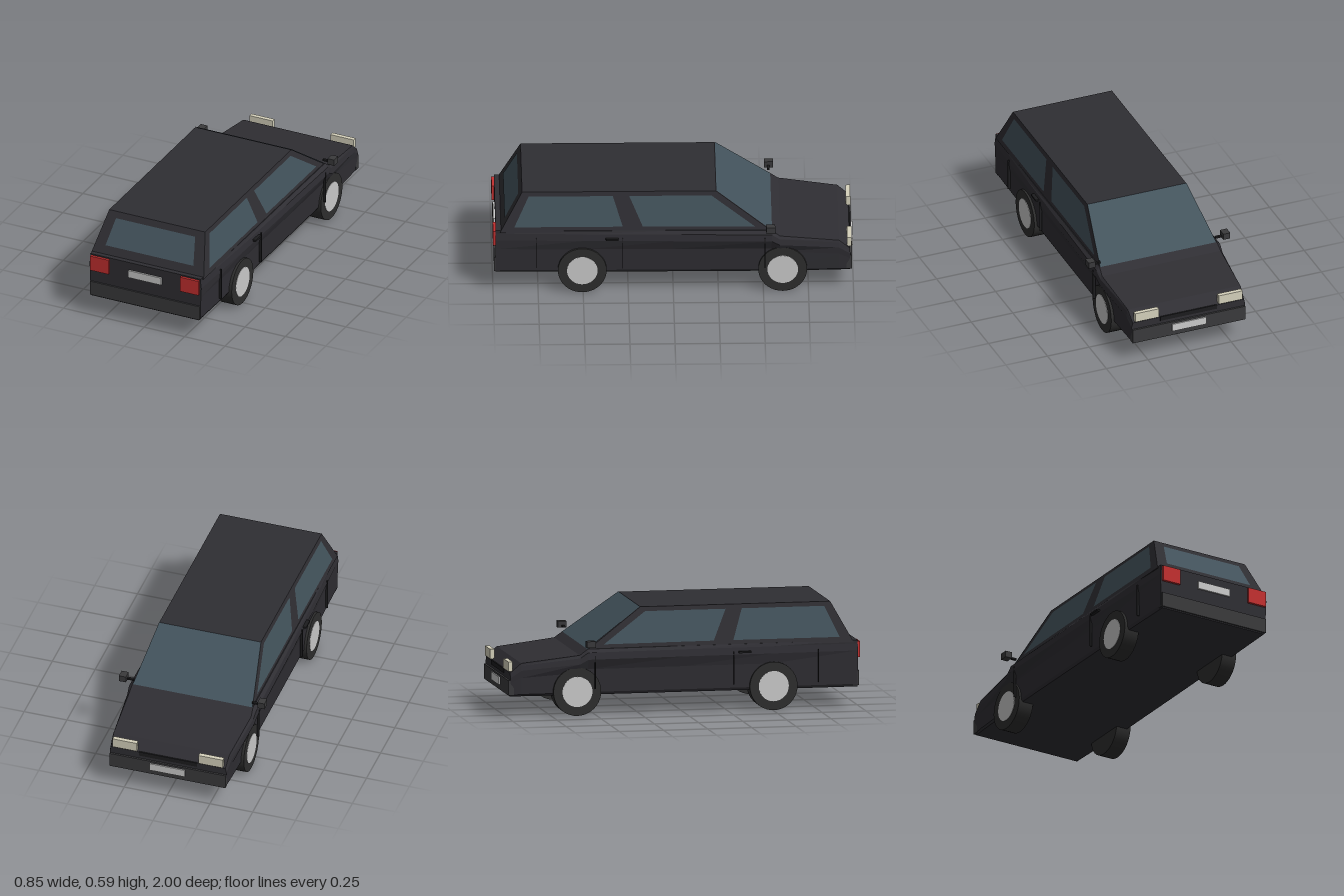
import * as THREE from 'three';
import { ConvexGeometry } from 'three/addons/geometries/ConvexGeometry.js';

const mat = (color, extra = {}) => new THREE.MeshStandardMaterial({ color, ...extra });
const paint = mat(0x2f2e33, { flatShading: true });
const trim = mat(0x3a3a3c);
const black = mat(0x1c1c1e);
const rubber = mat(0x2e2e2e);
const glass = mat(0x43535c, { side: THREE.DoubleSide });
const red = mat(0xc43030);
const lamp = mat(0xd6d2bc);
const grey = mat(0xcccccc);

export function createModel() {
  const car = new THREE.Group();
  car.name = 'car';

  const add = (name, geometry, material, x = 0, y = 0, z = 0) => {
    const mesh = new THREE.Mesh(geometry, material);
    mesh.name = name;
    mesh.position.set(x, y, z);
    car.add(mesh);
    return mesh;
  };
  // Box given by its limits on each axis
  const box = (name, material, [x0, x1], [y0, y1], [z0, z1]) =>
    add(name, new THREE.BoxGeometry(x1 - x0, y1 - y0, z1 - z0), material,
      (x0 + x1) / 2, (y0 + y1) / 2, (z0 + z1) / 2);
  // Flat four-cornered pane
  const pane = (name, p) => {
    const g = new THREE.BufferGeometry();
    const corners = [p[0], p[1], p[2], p[0], p[2], p[3]].flat();
    g.setAttribute('position', new THREE.Float32BufferAttribute(corners, 3));
    g.computeVertexNormals();
    add(name, g, glass);
  };

  // Lower body: sections from tail to nose as [z, top, belt, shoulder, sill half-widths]
  const sections = [
    [0.985, 0.376, 0.342, 0.346, 0.343],
    [0.50, 0.375, 0.349, 0.362, 0.350],
    [0.00, 0.374, 0.351, 0.370, 0.352],
    [-0.546, 0.371, 0.352, 0.377, 0.353],
    [-0.592, 0.338, 0.356, 0.373, 0.353],
    [-0.92, 0.300, 0.338, 0.347, 0.343],
    [-0.982, 0.247, 0.334, 0.341, 0.338],
  ];
  const rings = sections.map(([z, top, belt, shoulder, sill]) => {
    const half = [[sill - 0.012, 0], [sill - 0.003, 0.06], [sill, 0.56], [shoulder, 0.78],
      [shoulder - 0.005, 0.93], [belt, 1]].map(([x, f]) => [x, 0.115 + (top - 0.115) * f, z]);
    return [...half, ...half.map(([x, y]) => [-x, y, z]).reverse()];
  });
  const verts = [];
  const n = rings[0].length;
  for (let s = 0; s < rings.length - 1; s++) {
    const a = rings[s], b = rings[s + 1];
    for (let i = 0; i < n; i++) {
      const j = (i + 1) % n;
      verts.push(a[i], b[i], b[j], a[i], b[j], a[j]);
    }
  }
  const tail = rings[0], nose = rings[rings.length - 1];
  for (let i = 1; i < n - 1; i++) {
    verts.push(tail[0], tail[i], tail[i + 1], nose[0], nose[i + 1], nose[i]);
  }
  const shell = new THREE.BufferGeometry();
  shell.setAttribute('position', new THREE.Float32BufferAttribute(verts.flat(), 3));
  shell.computeVertexNormals();
  add('lowerBody', shell, paint);

  // Cabin
  const cabin = [];
  for (const s of [-1, 1]) {
    for (const [x, y, z] of [[0.349, 0.365, 0.962], [0.349, 0.365, -0.548],
      [0.297, 0.592, 0.838], [0.297, 0.592, -0.238]]) cabin.push(new THREE.Vector3(s * x, y, z));
  }
  add('cabin', new ConvexGeometry(cabin), paint);

  // Windows lie just outside the sloping cabin faces
  const sideX = (y) => 0.352 - (y - 0.365) * 0.229;
  const rearZ = (y) => 0.965 - (y - 0.365) * 0.546;
  pane('rearWindow', [[-0.272, 0.42], [0.272, 0.42], [0.245, 0.56], [-0.245, 0.56]]
    .map(([x, y]) => [x, y, rearZ(y)]));
  pane('windscreen', [[0.349, 0.371, -0.548], [-0.349, 0.371, -0.548],
    [-0.297, 0.594, -0.240], [0.297, 0.594, -0.240]]);
  const sideWindows = {
    rearSideWindow: [[0.882, 0.397], [0.28, 0.397], [0.335, 0.568], [0.802, 0.568]],
    frontSideWindow: [[0.169, 0.397], [-0.453, 0.394], [-0.212, 0.568], [0.244, 0.568]],
  };

  for (const s of [-1, 1]) {
    const side = s > 0 ? 'left' : 'right';
    const sbox = (name, m, [a, b], y, z) =>
      box(side + name, m, s > 0 ? [a, b] : [-b, -a], y, z);

    for (const [name, pts] of Object.entries(sideWindows)) {
      const p = pts.map(([z, y]) => [s * sideX(y), y, z]);
      pane(`${side} ${name}`, s > 0 ? p : p.reverse());
    }

    // Wheels with pale discs
    for (const [end, z] of [['Rear', 0.505], ['Front', -0.607]]) {
      const tyre = new THREE.CylinderGeometry(0.135, 0.135, 0.09, 40).rotateZ(Math.PI / 2);
      add(`${side}${end}Tyre`, tyre, rubber, s * 0.318, 0.135, z);
      const disc = new THREE.CylinderGeometry(0.085, 0.085, 0.01, 32).rotateZ(Math.PI / 2);
      add(`${side}${end}WheelDisc`, disc, grey, s * 0.36, 0.135, z);
    }

    // Door gaps and handle
    for (const [z, x] of [[0.76, 0.357], [0.28, 0.367], [-0.508, 0.375]]) {
      sbox('DoorGap', black, [x - 0.012, x + 0.003], [0.15, 0.335], [z - 0.002, z + 0.002]);
    }
    sbox('DoorHandle', black, [0.36, 0.382], [0.327, 0.337], [0.305, 0.375]);

    // Mirror on a short stalk
    sbox('MirrorStalk', black, [0.345, 0.39], [0.392, 0.402], [-0.545, -0.53]);
    sbox('Mirror', trim, [0.384, 0.425], [0.387, 0.423], [-0.565, -0.515]);

    // Lamps
    sbox('TailLamp', red, [0.222, 0.335], [0.279, 0.368], [0.975, 1]);
    sbox('Headlamp', lamp, [0.18, 0.322], [0.254, 0.308], [-0.99, -0.965]);
  }

  // Bumpers, grille and number plates
  box('rearBumper', trim, [-0.338, 0.338], [0.122, 0.206], [0.96, 0.994]);
  box('frontBumper', trim, [-0.338, 0.338], [0.122, 0.206], [-0.993, -0.96]);
  box('grille', black, [-0.17, 0.17], [0.225, 0.25], [-0.986, -0.96]);
  box('rearPlate', grey, [-0.102, 0.102], [0.286, 0.33], [0.98, 0.995]);
  box('frontPlate', grey, [-0.102, 0.102], [0.15, 0.194], [-1, -0.985]);
  return car;
}
